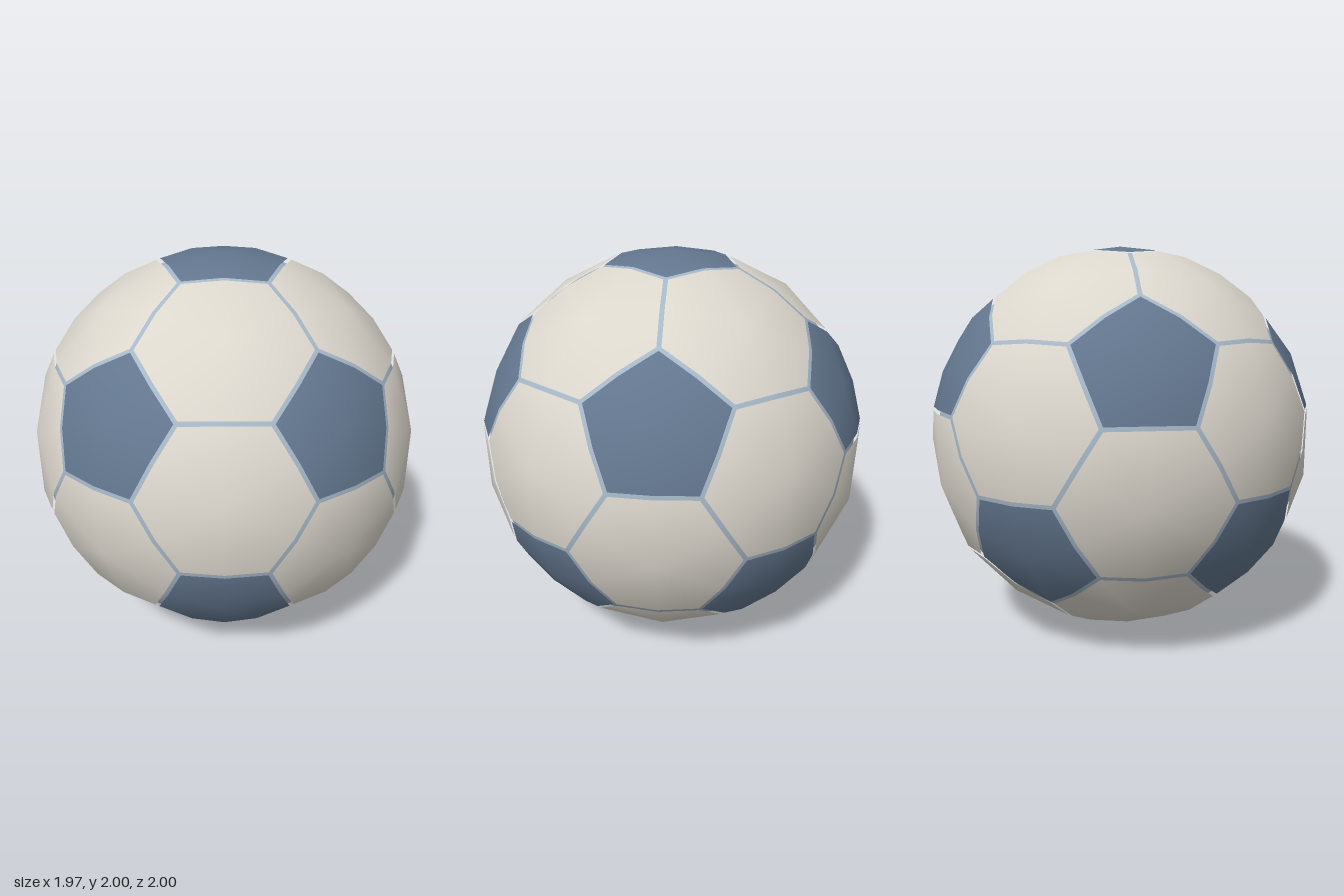
import * as THREE from 'three';

const material = (name, color) => {
  const m = new THREE.MeshStandardMaterial({ color });
  m.name = name;
  return m;
};

// One panel: a fan from its centre to inset corners and edge midpoints, all on the unit sphere
function panelGeometry(centre, corners, inset) {
  const c = centre.clone().normalize();
  const u = corners[0].clone().projectOnPlane(c).normalize();
  const v = new THREE.Vector3().crossVectors(c, u);
  const angle = (p) => Math.atan2(p.dot(v), p.dot(u));
  const sorted = corners.slice().sort((a, b) => angle(a) - angle(b));
  const middle = new THREE.Vector3();
  sorted.forEach((p) => middle.addScaledVector(p, 1 / sorted.length));
  const ring = sorted.map((p) => middle.clone().lerp(p, inset).normalize());

  const points = [c];
  ring.forEach((p, i) => {
    points.push(p, p.clone().add(ring[(i + 1) % ring.length]).normalize());
  });
  const index = [];
  const n = points.length - 1;
  for (let i = 0; i < n; i++) index.push(0, 1 + i, 1 + ((i + 1) % n));

  const geometry = new THREE.BufferGeometry().setFromPoints(points);
  geometry.setAttribute('normal', geometry.attributes.position.clone());
  geometry.setIndex(index);
  return geometry;
}

export function createModel() {
  const pale = material('warm white', 0xdcd7cd);
  const blue = material('slate blue', 0x63778f);
  const seam = material('pale blue seam', 0xa6b7c7);

  const ball = new THREE.Group();
  ball.name = 'ball';
  ball.position.y = 1;

  const add = (name, geometry, mat) => {
    const mesh = new THREE.Mesh(geometry, mat);
    mesh.name = name;
    ball.add(mesh);
  };

  // Inner core that shows through the seams
  add('seamCore', new THREE.SphereGeometry(0.965, 64, 40), seam);

  // Icosahedron points: two poles and two staggered rings of five
  const tips = [new THREE.Vector3(0, 1, 0), new THREE.Vector3(0, -1, 0)];
  const h = 1 / Math.sqrt(5);
  for (let i = 0; i < 5; i++) {
    const a = (i * Math.PI * 2) / 5;
    const x = 2 * h * Math.cos(a);
    const z = 2 * h * Math.sin(a);
    tips.push(new THREE.Vector3(x, h, z), new THREE.Vector3(-x, -h, -z));
  }
  const near = (a, b) => a !== b && a.distanceTo(b) < 1.2;
  const third = (a, b) => a.clone().lerp(b, 1 / 3).normalize();

  // Pentagon panels, one at each point
  tips.forEach((t) => {
    const corners = tips.filter((o) => near(t, o)).map((o) => third(t, o));
    add('pentagonPanel', panelGeometry(t, corners, 0.967), blue);
  });

  // Hexagon panels, one for each triangle of neighbouring points
  for (let i = 0; i < 12; i++) {
    for (let j = i + 1; j < 12; j++) {
      for (let k = j + 1; k < 12; k++) {
        const [a, b, c] = [tips[i], tips[j], tips[k]];
        if (!near(a, b) || !near(b, c) || !near(a, c)) continue;
        const corners = [[a, b], [b, a], [b, c], [c, b], [c, a], [a, c]].map(([p, q]) => third(p, q));
        add('hexagonPanel', panelGeometry(a.clone().add(b).add(c), corners, 0.967), pale);
      }
    }
  }

  const model = new THREE.Group();
  model.name = 'panelledBall';
  model.add(ball);
  return model;
}
